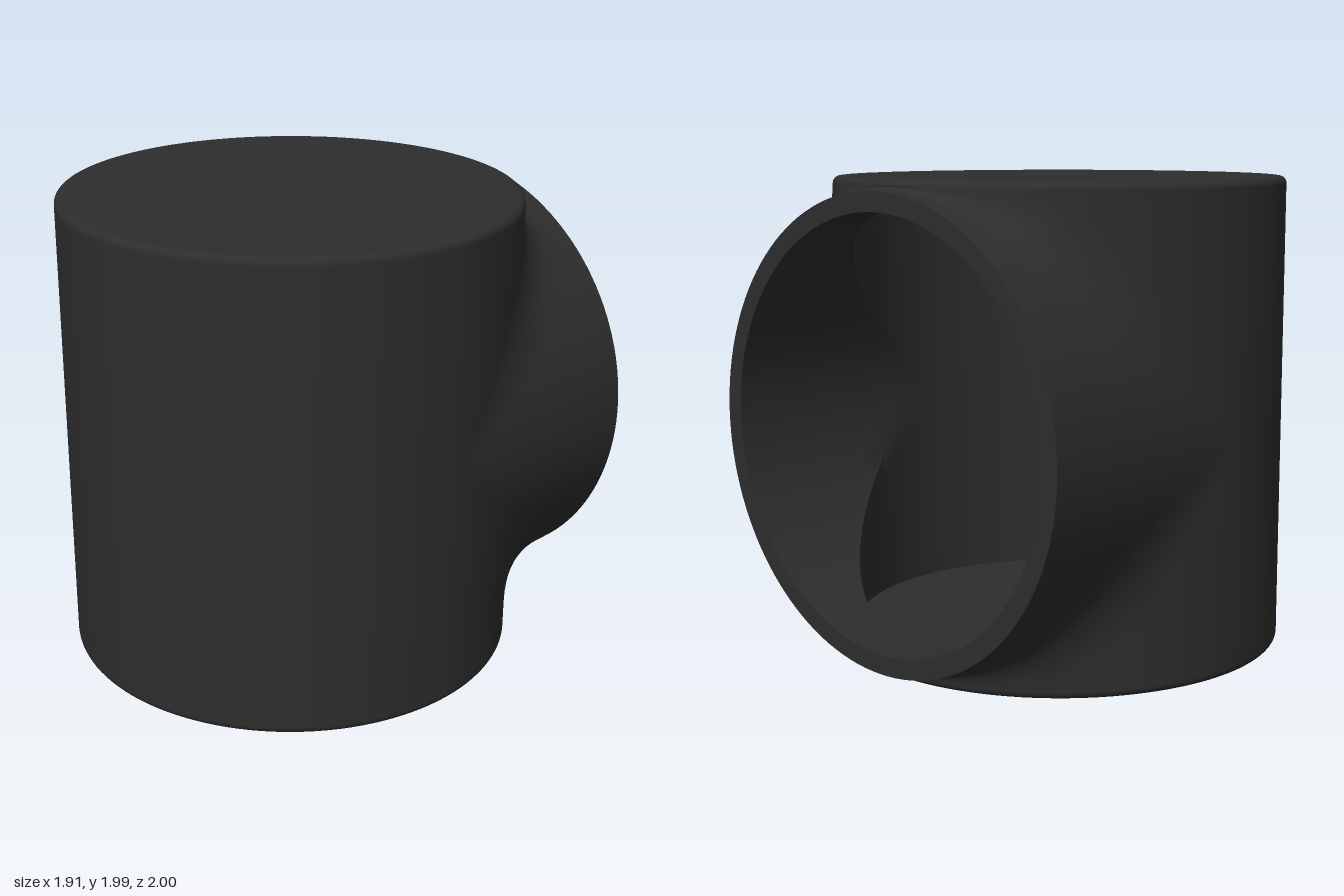
import * as THREE from 'three';
import { mergeVertices, mergeGeometries, toCreasedNormals } from 'three/addons/utils/BufferGeometryUtils.js';

const H = 1.99, MID = H / 2, ZC = 0.045, BACK = -1;
const R = 0.955, R_IN = 0.875, FLOOR = 0.07, EDGE = 0.03;

// Wall of an upright cylinder that opens into an equal-radius tube towards the back.
// The two meet along slanted ellipses, softened by a fillet of the given size.
function teeWall(r, halfHeight, fillet, inward) {
  const COLS = 64, positions = [], index = [];
  for (const s of [1, -1]) {
    const base = positions.length / 3;
    let rows = 0;
    for (let i = 0; i <= COLS; i++) {
      const t = (i / COLS - 0.5) * Math.PI;
      const x = r * Math.sin(t), c = r * Math.cos(t), z = ZC - c;
      const a = Math.max(0, Math.min(fillet, halfHeight + 0.01 - c, c * 0.6));
      const column = [];
      // upright wall, from the edge to the fillet
      for (let j = 0; j <= 6; j++) column.push([THREE.MathUtils.lerp(halfHeight, Math.min(c + a, halfHeight), j / 6), z]);
      // fillet
      const b = Math.min(a, z - BACK - 0.02);
      if (fillet > 0) {
        for (let j = 1; j < 10; j++) {
          const u = j / 10;
          column.push([c + a * (1 - u) * (1 - u), z - b * u * u]);
        }
      }
      // tube, out to the back opening
      for (let j = 0; j <= 6; j++) column.push([c, THREE.MathUtils.lerp(z - b, BACK, j / 6)]);
      rows = column.length;
      for (const [y, pz] of column) positions.push(x, MID + s * y, pz);
    }
    const flip = (s < 0) !== inward;
    for (let i = 0; i < COLS; i++) {
      for (let j = 0; j < rows - 1; j++) {
        const p = base + i * rows + j, q = p + rows;
        if (flip) index.push(p, p + 1, q, q, p + 1, q + 1);
        else index.push(p, q, p + 1, q, q + 1, p + 1);
      }
    }
  }
  const back = new THREE.BufferGeometry();
  back.setAttribute('position', new THREE.Float32BufferAttribute(positions, 3));
  back.setIndex(index);

  // plain front half
  const front = new THREE.CylinderGeometry(r, r, halfHeight * 2, 64, 1, true, -Math.PI / 2, Math.PI);
  front.translate(0, MID, ZC);
  front.deleteAttribute('normal');
  front.deleteAttribute('uv');
  if (inward) front.setIndex(Array.from(front.index.array).reverse());

  const wall = mergeVertices(mergeGeometries([back, front]), 1e-4);
  wall.computeVertexNormals();
  return wall;
}

// End cap with a rounded edge, bottom side down
function capGeometry() {
  const pts = [new THREE.Vector2(0, 0), new THREE.Vector2(R - EDGE - 0.004, 0)];
  for (let i = 0; i <= 6; i++) {
    const a = (i / 6) * Math.PI / 2;
    pts.push(new THREE.Vector2(R - EDGE + EDGE * Math.sin(a), EDGE - EDGE * Math.cos(a)));
  }
  return new THREE.LatheGeometry(pts, 128);
}

export function createModel() {
  const group = new THREE.Group();
  const charcoal = new THREE.MeshStandardMaterial({ color: 0x2d2d2d });
  charcoal.name = 'charcoal';

  const add = (name, geometry, x = 0, y = 0, z = 0) => {
    const mesh = new THREE.Mesh(geometry, charcoal);
    mesh.name = name;
    mesh.position.set(x, y, z);
    group.add(mesh);
    return mesh;
  };

  // Outer shell and hollow inside
  add('outerWall', teeWall(R, MID - EDGE, 0.25, false));
  add('innerWall', toCreasedNormals(teeWall(R_IN, MID - FLOOR, 0, true), 0.5));

  // Closed ends
  add('bottomCap', capGeometry(), 0, 0, ZC);
  add('topCap', capGeometry(), 0, H, ZC).rotation.x = Math.PI;

  // Floor and ceiling of the cavity
  const disc = new THREE.CircleGeometry(R_IN, 128);
  add('cavityFloor', disc, 0, FLOOR, ZC).rotation.x = -Math.PI / 2;
  add('cavityCeiling', disc, 0, H - FLOOR, ZC).rotation.x = Math.PI / 2;

  // Flat rim around the back opening
  add('openingRim', new THREE.RingGeometry(R_IN, R, 128), 0, MID, BACK).rotation.y = Math.PI;

  return group;
}
